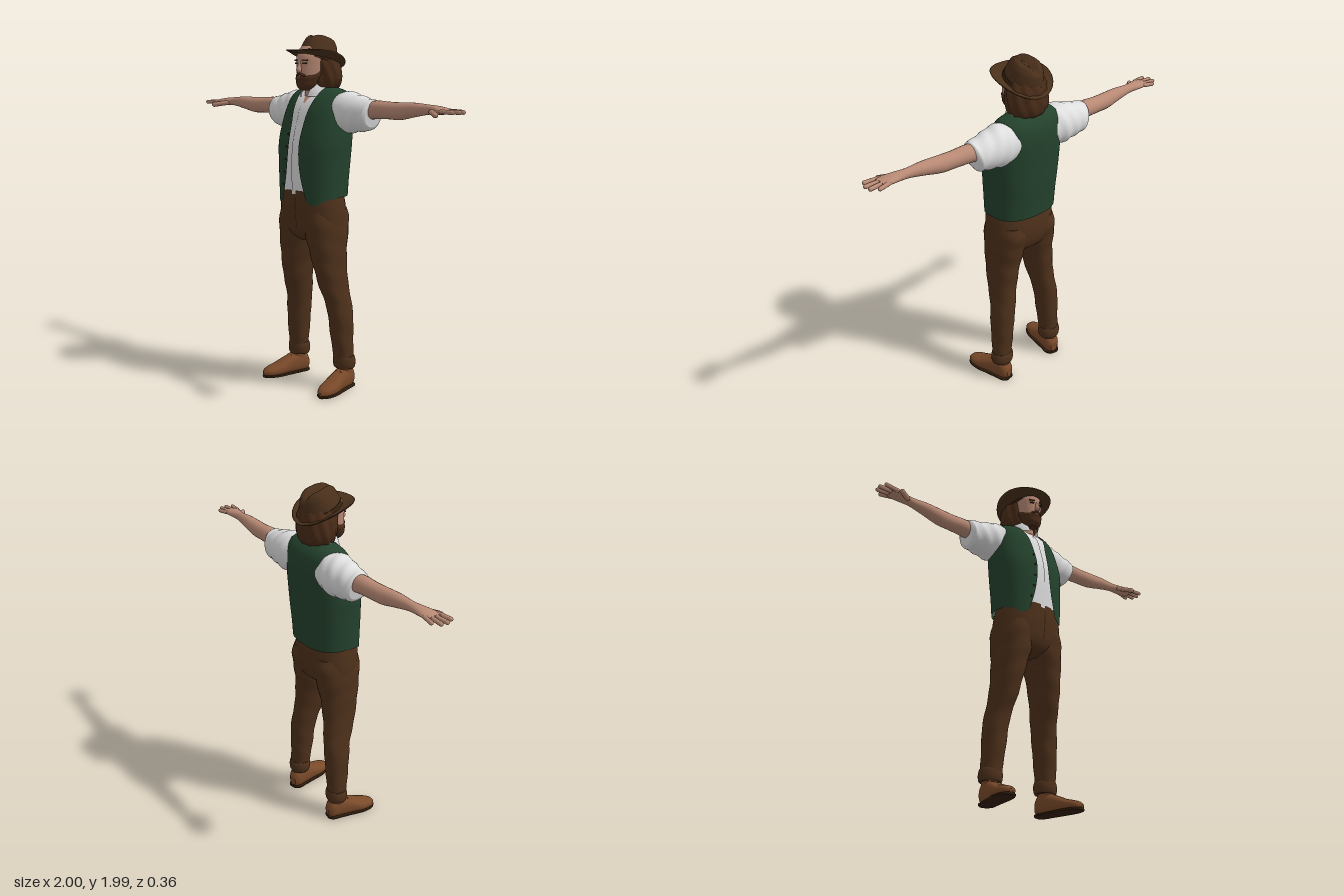
import * as THREE from 'three';

const mat = (name, color, side = THREE.FrontSide) => {
  const m = new THREE.MeshStandardMaterial({ color, side });
  m.name = name;
  return m;
};
const M = {
  skin: mat('skin', 0xb98a75),
  lip: mat('lip', 0x8f5a4c),
  shirt: mat('white shirt', 0xdedede, THREE.DoubleSide),
  vest: mat('green vest', 0x24422d, THREE.DoubleSide),
  trousers: mat('brown trousers', 0x4e311b),
  shoe: mat('tan leather', 0x7a4a2a),
  sole: mat('dark leather', 0x33200f),
  hair: mat('brown hair', 0x4a2c18),
  hat: mat('brown felt', 0x4a301b, THREE.DoubleSide),
  band: mat('hat band', 0x37220f),
};

const sampler = (rows) => new THREE.CubicInterpolant(
  rows.map((r) => r[0]), rows.flatMap((r) => r.slice(1)), 4, new Float32Array(4));
const pow = (v, e) => Math.sign(v) * Math.abs(v) ** e;

// Smooth skin over rows of [height, centre x, centre z, radius x, radius z].
// gap(y) leaves a front opening, patch(y) keeps only a front strip (half widths).
function loft(rows, o = {}) {
  const { n = 28, steps = 28, e = 1, axis = 'y', grow = 0, ripple = [0, 0, 0], gap, patch, shape } = o;
  const y0 = o.y0 ?? rows[0][0], y1 = o.y1 ?? rows.at(-1)[0];
  const s = sampler(rows), open = gap || patch, w = open ? n + 1 : n;
  const pos = [], idx = [], v = new THREE.Vector3();
  for (let i = 0; i <= steps; i++) {
    const t = i / steps, y = y0 + (y1 - y0) * t;
    const [cx, cz, rx, rz] = s.evaluate(y);
    let from = 0, to = Math.PI * 2;
    if (open) {
      const h = Math.asin(Math.min(1, (open(y) / (rx + grow)) ** (1 / e)));
      [from, to] = gap ? [h, to - h] : [-h, h];
    }
    for (let j = 0; j < w; j++) {
      const a = from + (to - from) * j / n;
      const k = 1 + ripple[0] * Math.sin(ripple[1] * a + ripple[2] * t);
      v.set(cx + (rx + grow) * k * pow(Math.sin(a), e), y, cz + (rz + grow) * k * pow(Math.cos(a), e));
      if (shape) shape(v, t);
      pos.push(v.x, v.y, v.z);
    }
  }
  for (let i = 0; i < steps; i++) for (let j = 0; j < n; j++) {
    const a = i * w + j, b = i * w + (j + 1) % w;
    idx.push(a, b, b + w, a, b + w, a + w);
  }
  if (!open) for (const top of [0, 1]) {
    const c = pos.length / 3, ring = pos.slice(top * steps * w * 3, (top * steps + 1) * w * 3);
    const mid = [0, 1, 2].map((k) => ring.reduce((q, x, i) => (i % 3 === k ? q + x / w : q), 0));
    pos.push(...mid, ...ring);
    for (let j = 0; j < n; j++) {
      const a = c + 1 + j, b = c + 1 + (j + 1) % n;
      idx.push(c, top ? a : b, top ? b : a);
    }
  }
  // Turn the length of the skin onto x or z by a cyclic swap.
  for (let i = 0; i < pos.length; i += 3) {
    const [x, y, z] = pos.slice(i, i + 3);
    if (axis === 'x') [pos[i], pos[i + 1], pos[i + 2]] = [y, z, x];
    if (axis === 'z') [pos[i], pos[i + 1], pos[i + 2]] = [z, x, y];
  }
  const g = new THREE.BufferGeometry();
  g.setAttribute('position', new THREE.Float32BufferAttribute(pos, 3));
  g.setIndex(idx);
  g.computeVertexNormals();
  return g;
}

// Front depth of a lofted surface, for seating small details.
function frontZ(rows, e, x, y) {
  const [cx, cz, rx, rz] = sampler(rows).evaluate(y);
  return cz + rz * (1 - Math.abs((x - cx) / rx) ** (2 / e)) ** (e / 2);
}

function capsule(a, b, r) {
  const p = new THREE.Vector3(...a), d = new THREE.Vector3(...b).sub(p);
  const g = new THREE.CapsuleGeometry(r, Math.max(0.001, d.length() - 2 * r), 4, 10);
  g.applyQuaternion(new THREE.Quaternion().setFromUnitVectors(new THREE.Vector3(0, 1, 0), d.clone().normalize()));
  return g.translate(...p.addScaledVector(d, 0.5).toArray());
}

export function createModel() {
  const root = new THREE.Group();
  const add = (name, g, m) => {
    const mesh = new THREE.Mesh(g, m);
    mesh.name = name;
    root.add(mesh);
    return mesh;
  };
  const pair = (name, g, m) => {
    add('left ' + name, g, m);
    const h = g.clone().scale(-1, 1, 1), ix = h.index.array;
    for (let i = 0; i < ix.length; i += 3) [ix[i], ix[i + 1]] = [ix[i + 1], ix[i]];
    add('right ' + name, h, m);
  };
  const box = (w, h, d, x, y, z, ry = 0) => new THREE.BoxGeometry(w, h, d).rotateY(ry).translate(x, y, z);

  // Torso: shirt, vest, placket, collar
  const torso = [[1.08, 0, 0, .2, .155], [1.2, 0, -.002, .206, .16], [1.3, 0, -.006, .212, .165],
    [1.4, 0, -.012, .22, .163], [1.5, 0, -.028, .216, .153], [1.6, 0, -.045, .2, .135],
    [1.66, 0, -.058, .186, .105], [1.69, 0, -.062, .16, .075], [1.705, 0, -.06, .105, .06]];
  const e = .8;
  add('shirt body', loft(torso, { e, n: 40, grow: -.009, y0: 1.115 }), M.shirt);
  const opening = [[1.08, .1, 0, 0, 0], [1.2, .062, 0, 0, 0], [1.35, .042, 0, 0, 0],
    [1.5, .046, 0, 0, 0], [1.6, .06, 0, 0, 0], [1.705, .08, 0, 0, 0]];
  const edge = sampler(opening);
  add('vest', loft(torso, {
    e, n: 64, steps: 40, y0: 1.105, gap: (y) => edge.evaluate(y)[0],
    shape: (v, t) => {
      if (v.z > 0) v.y -= .042 * Math.exp(-(((Math.abs(v.x) - .135) / .045) ** 2)) * (1 - t) ** 8;
    },
  }), M.vest);
  add('shirt placket', loft(torso, { e, n: 4, grow: -.004, y0: 1.12, y1: 1.62, patch: () => .014 }), M.shirt);
  add('open neckline', loft(torso, { e, n: 8, grow: -.005, y0: 1.61, y1: 1.7, patch: (y) => .001 + (y - 1.61) * .4 }), M.skin);
  const collar = [[1.655, 0, -.02, .088, .092], [1.69, 0, -.022, .082, .085], [1.735, 0, -.028, .068, .066]];
  add('collar', loft(collar, {
    steps: 10, n: 36, gap: (y) => .02 + (y - 1.655) * .25,
    shape: (v, t) => { if (v.z < 0) v.y += .025 * (1 - t); },
  }), M.shirt);
  for (let i = 0; i < 5; i++) {
    const y = 1.17 + i * .07, x = -edge.evaluate(y)[0] - .014;
    add('vest button', new THREE.CylinderGeometry(.006, .006, .006, 10).rotateX(Math.PI / 2)
      .translate(x, y, frontZ(torso, e, x, y) + .002), M.sole);
  }

  // Arms: rows of [x, z, y, radius z, radius y]
  pair('sleeve', loft([[.12, -.065, 1.575, .095, .1], [.2, -.07, 1.57, .105, .115], [.28, -.073, 1.565, .095, .1],
    [.36, -.073, 1.56, .081, .085], [.378, -.073, 1.56, .076, .08], [.385, -.073, 1.56, .062, .064]], {
    axis: 'x', n: 36, steps: 32, ripple: [.025, 3, 22],
    shape: (v, t) => { v.y += .22 * (v.z - 1.56) * t; },
  }), M.shirt);
  pair('arm', loft([[.3, -.075, 1.58, .05, .05], [.42, -.075, 1.592, .048, .049], [.5, -.074, 1.591, .044, .046],
    [.58, -.069, 1.59, .043, .046], [.68, -.065, 1.6, .036, .037], [.78, -.062, 1.605, .027, .025],
    [.83, -.056, 1.604, .036, .023], [.88, -.05, 1.602, .045, .018], [.92, -.048, 1.6, .043, .011]],
  { axis: 'x', n: 20, steps: 32 }), M.skin);
  const fingers = [[-.012, .984, .004], [-.037, 1, -.034], [-.061, .995, -.07], [-.083, .96, -.1]];
  for (const [z, x, tip] of fingers) {
    pair('finger', capsule([.88, 1.602, z], [x, 1.598, tip], .0115), M.skin);
  }
  pair('thumb', capsule([.805, 1.598, -.04], [.895, 1.582, .03], .0145), M.skin);

  // Trousers
  add('trouser seat', loft([[.85, 0, 0, .12, .07], [.88, 0, 0, .175, .112], [.92, 0, 0, .203, .134],
    [.98, 0, 0, .208, .146], [1.05, 0, .004, .203, .148], [1.14, 0, .01, .19, .14]], { e: .88 }), M.trousers);
  pair('trouser leg', loft([[.14, .19, -.06, .056, .052], [.2, .187, -.057, .058, .056], [.3, .18, -.052, .061, .066],
    [.43, .172, -.047, .067, .073], [.5, .162, -.04, .065, .08], [.6, .147, -.017, .069, .093],
    [.7, .135, -.004, .077, .104], [.8, .121, .002, .09, .115], [.9, .108, .001, .102, .132],
    [.98, .104, -.004, .1, .14], [1.04, .1, 0, .09, .13]],
  { e: .92, steps: 60, ripple: [.016, 2, 42] }), M.trousers);
  pair('trouser cuff', loft([[.12, .19, -.062, .06, .054], [.127, .19, -.062, .064, .058],
    [.18, .189, -.061, .065, .059], [.19, .189, -.06, .06, .055]], { steps: 12 }), M.trousers);
  const seam = (y0, y1, x) => loft([[.86, 0, 0, .2, .125], [.98, 0, 0, .208, .147], [1.05, 0, .004, .203, .149],
    [1.14, 0, .01, .19, .141]], { e: .88, n: 3, steps: 10, y0, y1, grow: .001, patch: () => .003, shape: (v) => { v.x += x; } });
  add('fly seam', seam(.93, 1.1, .012), M.sole);

  // Shoes: rows of [z, y, x, radius y, radius x], toes turned out
  const place = (g) => g.rotateY(.2).translate(.207, 0, 0);
  const foot = [[-.125, .05, 0, .03, .022], [-.11, .058, 0, .052, .038], [-.05, .062, 0, .066, .045],
    [.02, .052, 0, .052, .049], [.09, .037, 0, .036, .053], [.14, .031, 0, .027, .044], [.17, .026, 0, .018, .026], [.18, .023, 0, .008, .01]];
  pair('shoe', place(loft(foot, { axis: 'z', e: .85, shape: (v) => { v.x = Math.max(v.x, .012); } })), M.shoe);
  pair('shoe ankle', place(loft([[.06, 0, -.06, .042, .05], [.13, 0, -.062, .042, .05]], { steps: 4 })), M.shoe);
  pair('shoe sole', place(loft(foot.map(([z, , , , r]) => [z, .008, 0, .008, r + .003]), { axis: 'z', e: .45 })), M.sole);
  for (let i = 0; i < 3; i++) {
    pair('lace', place(capsule([-.022, .108 - i * .012, -.002 + i * .022], [.022, .108 - i * .012, .002 + i * .022], .004)), M.sole);
  }

  // Head and face
  const head = [[1.695, 0, .055, .03, .03], [1.73, 0, .045, .055, .055], [1.77, 0, .021, .068, .084],
    [1.82, 0, .011, .076, .095], [1.88, 0, .002, .08, .1], [1.93, 0, -.01, .065, .08]];
  add('neck', loft([[1.62, 0, -.022, .066, .07], [1.7, 0, -.015, .056, .06], [1.78, 0, -.01, .056, .06]], { steps: 8 }), M.skin);
  add('head', loft(head), M.skin);
  add('nose', loft([[1.786, 0, .102, .011, .01], [1.796, 0, .109, .016, .017], [1.82, 0, .104, .011, .015],
    [1.852, 0, .097, .008, .007]], { n: 14, steps: 10 }), M.skin);
  add('beard', loft([[1.688, 0, .062, .026, .026], [1.71, 0, .058, .05, .046], [1.74, 0, .045, .064, .063],
    [1.765, 0, .026, .073, .081], [1.785, 0, 0, .078, .062], [1.81, 0, -.01, .079, .06]],
  { ripple: [.02, 9, 5] }), M.hair);
  pair('moustache', capsule([.002, 1.78, .11], [.034, 1.768, .095], .007), M.hair);
  add('mouth', box(.03, .007, .006, 0, 1.764, .108), M.lip);
  const faceBox = (w, h, x, y) => box(w, h, .008, x, y, frontZ(head, 1, x, y) + .001, .4);
  pair('eye', faceBox(.024, .008, .032, 1.836), M.sole);
  pair('eyebrow', faceBox(.036, .008, .034, 1.853), M.hair);
  add('hair', loft([[1.685, 0, -.06, .08, .07], [1.705, 0, -.062, .104, .088], [1.74, 0, -.062, .121, .097],
    [1.79, 0, -.06, .123, .1], [1.84, 0, -.055, .114, .1], [1.9, 0, -.045, .09, .09]],
  { n: 60, ripple: [.035, 11, 7] }), M.hair);

  // Hat: tilted back, sides of the brim curled up, crown pinched and creased
  const hat = new THREE.Group();
  hat.name = 'hat';
  hat.position.set(0, 1.862, -.014);
  hat.rotation.x = -.29;
  root.add(hat);
  const brim = new THREE.LatheGeometry([[.085, -.004], [.13, -.004], [.162, 0], [.165, .004], [.161, .007], [.13, .004], [.085, .006]]
    .map((p) => new THREE.Vector2(...p)), 48);
  const bp = brim.attributes.position;
  for (let i = 0; i < bp.count; i++) {
    const x = bp.getX(i), z = bp.getZ(i), out = Math.max(0, Math.hypot(x, z) - .09) / .075;
    bp.setY(i, bp.getY(i) + out * (.028 * (x / .165) ** 2 - .008 * (z / .165) ** 2));
    bp.setZ(i, z * 1.04);
  }
  brim.computeVertexNormals();
  const pinch = (v) => {
    const h = Math.max(0, v.y) / .13;
    v.x *= 1 - .3 * h * Math.max(0, (v.z + .05) / .12);
    if (v.y > .085) v.y -= .028 * Math.exp(-((v.x / .022) ** 2)) * (v.y - .085) / .045;
  };
  const crown = [[-.01, 0, -.015, .102, .117], [.03, 0, -.015, .1, .115], [.075, 0, -.014, .09, .105],
    [.108, 0, -.012, .076, .09], [.124, 0, -.01, .058, .073], [.13, 0, -.01, .03, .05], [.131, 0, -.01, .004, .02]];
  hat.add(
    Object.assign(new THREE.Mesh(brim, M.hat), { name: 'brim' }),
    Object.assign(new THREE.Mesh(loft(crown, { n: 40, steps: 70, shape: pinch }), M.hat), { name: 'crown' }),
    Object.assign(new THREE.Mesh(loft(crown, { n: 40, steps: 6, y0: 0, y1: .03, grow: .003, shape: pinch }), M.band), { name: 'hat band' }),
  );
  return root;
}
